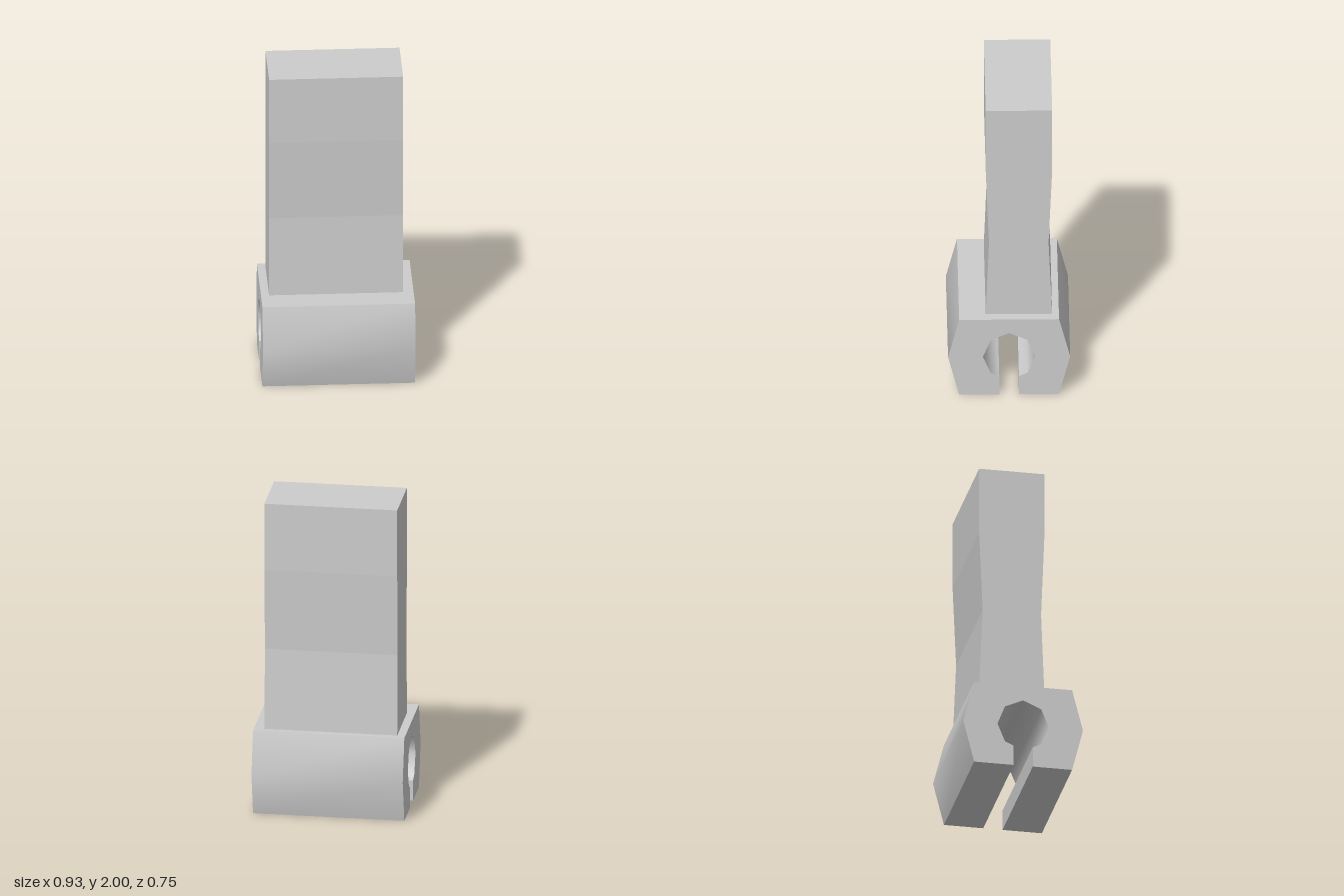
import * as THREE from 'three';
import { toCreasedNormals } from 'three/addons/utils/BufferGeometryUtils.js';

// Extrudes a [z, y] outline along x, from x0 to x1
function extrudeAlongX(outline, x0, x1) {
  const shape = new THREE.Shape(outline.map(([z, y]) => new THREE.Vector2(-z, y)));
  const geometry = new THREE.ExtrudeGeometry(shape, { depth: x1 - x0, bevelEnabled: false });
  return geometry.rotateY(Math.PI / 2).translate(x0, 0, 0);
}

export function createModel() {
  const group = new THREE.Group();
  group.name = 'clipOnPost';

  // Clamp: bulging block with an eight-sided bore, slotted open at the bottom
  const half = [
    [0.06, 0], [0.305, 0], [0.373, 0.27], [0.305, 0.537],
  ];
  const bore = [[0, 0.44], [0.113, 0.39], [0.16, 0.27], [0.113, 0.155], [0.06, 0.13]];
  const mirror = (points) => points.map(([z, y]) => [-z, y]).reverse();
  const clampOutline = [
    ...half, ...mirror(half),
    ...mirror(bore), ...bore.slice(1),
  ];
  const clamp = new THREE.Mesh(
    toCreasedNormals(extrudeAlongX(clampOutline, -0.467, 0.467), 0.87),
    new THREE.MeshStandardMaterial({ color: 0xcccccc }),
  );
  clamp.name = 'clamp';
  group.add(clamp);

  // Post: slab with a slight waist on its front and back
  const postOutline = [
    [0.142, 0.53], [0.122, 1.05], [0.142, 1.57], [0.142, 2],
    [-0.264, 2], [-0.264, 1.57], [-0.242, 1.05], [-0.264, 0.53],
  ];
  const post = new THREE.Mesh(
    extrudeAlongX(postOutline, -0.417, 0.403),
    new THREE.MeshStandardMaterial({ color: 0xcccccc, flatShading: true }),
  );
  post.name = 'post';
  group.add(post);

  return group;
}
